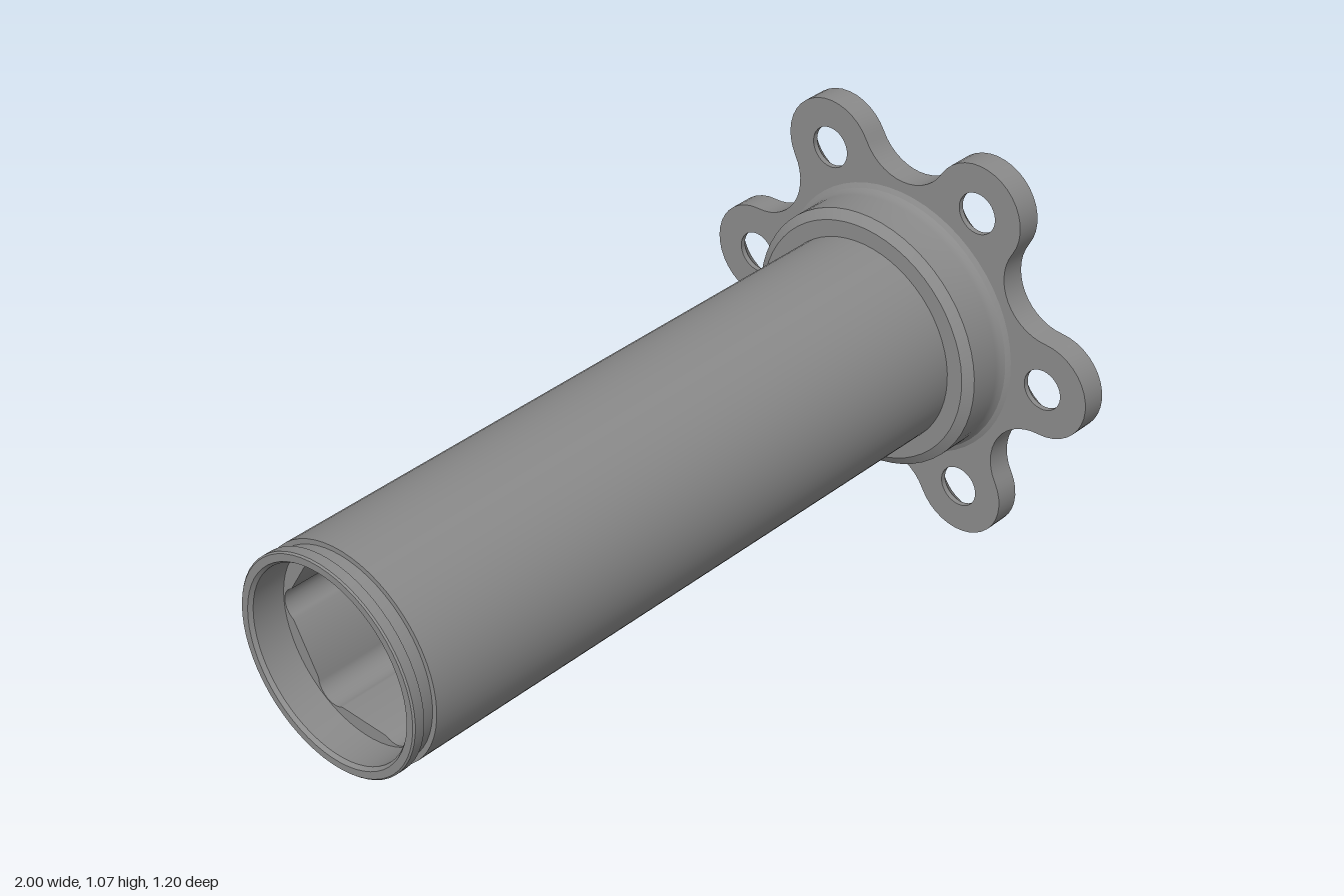
import * as THREE from 'three';
import { toCreasedNormals } from 'three/addons/utils/BufferGeometryUtils.js';

const SEG = 60;
const RAD = Math.PI / 180;

// Points of an arc, angles in degrees
function arc(cx, cy, r, from, to, n) {
  const pts = [];
  for (let i = 0; i <= n; i++) {
    const a = (from + (to - from) * i / n) * RAD;
    pts.push(new THREE.Vector2(cx + r * Math.cos(a), cy + r * Math.sin(a)));
  }
  return pts;
}
const circle = (r, cx = 0, cy = 0, n = SEG) => arc(cx, cy, r, 0, 360, n).slice(0, -1);
const polar = (r, deg) => [r * Math.cos(deg * RAD), r * Math.sin(deg * RAD)];

// Straight wall along z; a counter-clockwise loop faces outward
function wall(loop, z0, z1) {
  const pos = [], idx = [], n = loop.length;
  loop.forEach(p => pos.push(p.x, p.y, z0, p.x, p.y, z1));
  for (let i = 0; i < n; i++) {
    const a = 2 * i, b = 2 * ((i + 1) % n);
    idx.push(a, b, b + 1, a, b + 1, a + 1);
  }
  const g = new THREE.BufferGeometry();
  g.setAttribute('position', new THREE.Float32BufferAttribute(pos, 3));
  g.setIndex(idx);
  return toCreasedNormals(g, 0.5);
}

// Flat plate face with holes, facing +z or -z
function face(outline, holes, z, back = false) {
  const s = new THREE.Shape(outline);
  s.holes = holes.map(h => new THREE.Path(h));
  const g = new THREE.ShapeGeometry(s);
  if (back) {
    const ix = g.index.array;
    for (let i = 0; i < ix.length; i += 3) [ix[i], ix[i + 1]] = [ix[i + 1], ix[i]];
    g.computeVertexNormals();
  }
  return g.translate(0, 0, z);
}

// Turned surface around z from [radius, z] pairs
function turned(profile, n = SEG) {
  const g = new THREE.LatheGeometry(profile.map(p => new THREE.Vector2(...p)), n);
  g.rotateX(Math.PI / 2);
  return toCreasedNormals(g, 0.5);
}

export function createModel() {
  const model = new THREE.Group();
  model.name = 'flangedHub';
  const steel = new THREE.MeshStandardMaterial({ color: 0x8a8a8a });
  steel.name = 'steelGrey';

  const hub = new THREE.Group();
  hub.name = 'hub';
  hub.rotation.y = Math.PI / 2;
  hub.position.y = 0.5373;
  model.add(hub);
  const add = (name, geometry) => {
    const m = new THREE.Mesh(geometry, steel);
    m.name = name;
    hub.add(m);
    return m;
  };

  const FRONT = 1, BACK = 0.933, FLOOR = 0.86, BORE_END = -0.9;
  const LOBE = 0.468, BORE = 0.25, RECESS = 0.298;

  // Flange outline (rounded lobes joined by concave arcs) and hex bore with relieved corners
  const outline = [], hex = [];
  for (let a = 0; a < 360; a += 60) {
    outline.push(...arc(...polar(LOBE, a), 0.132, a - 90.7, a + 90.7, 18));
    outline.push(...arc(...polar(0.5365, a + 30), 0.1365, a + 270.7, a + 149.3, 14).slice(1, -1));
    hex.push(...arc(...polar(0.197, a), 0.05, a - 62, a + 62, 10));
  }
  const boltHoles = r => [0, 60, 120, 180, 240, 300].map(a => circle(r, ...polar(LOBE, a), 36));

  // Tube, end groove, collar and fillet in one turned profile
  add('tubeAndCollar', turned([
    [BORE, BORE_END], [BORE, -0.99], [0.257, -1], [0.276, -1], [0.28, -0.996],
    [0.28, -0.97], [0.267, -0.97], [0.267, -0.933], [0.28, -0.933],
    [0.28, 0.797], [0.325, 0.797], [0.35, 0.815], [0.35, 0.9],
    [0.352, 0.915], [0.358, 0.926], [0.37, BACK],
  ]));

  // Flange
  add('flangeFront', face(outline, [circle(0.312), ...boltHoles(0.108)], FRONT));
  add('flangeBack', face(outline, [circle(0.37), ...boltHoles(0.055)], BACK, true));
  add('flangeRim', wall(outline, BACK, FRONT));

  // Countersunk bolt holes
  for (let a = 0; a < 360; a += 60) {
    const hole = add('countersunkHole', turned(
      [[0.108, FRONT], [0.055, 0.947], [0.055, BACK]], 36));
    hole.position.set(...polar(LOBE, a), 0);
  }

  // Front recess and hex bore
  add('recessWall', turned([[0.312, FRONT], [RECESS, 0.985], [RECESS, FLOOR]]));
  add('recessFloor', face(circle(RECESS), [hex], FLOOR));
  add('hexBore', wall([...hex].reverse(), BORE_END, FLOOR));
  add('rearBoreFloor', face(circle(BORE), [hex], BORE_END, true));

  return model;
}
